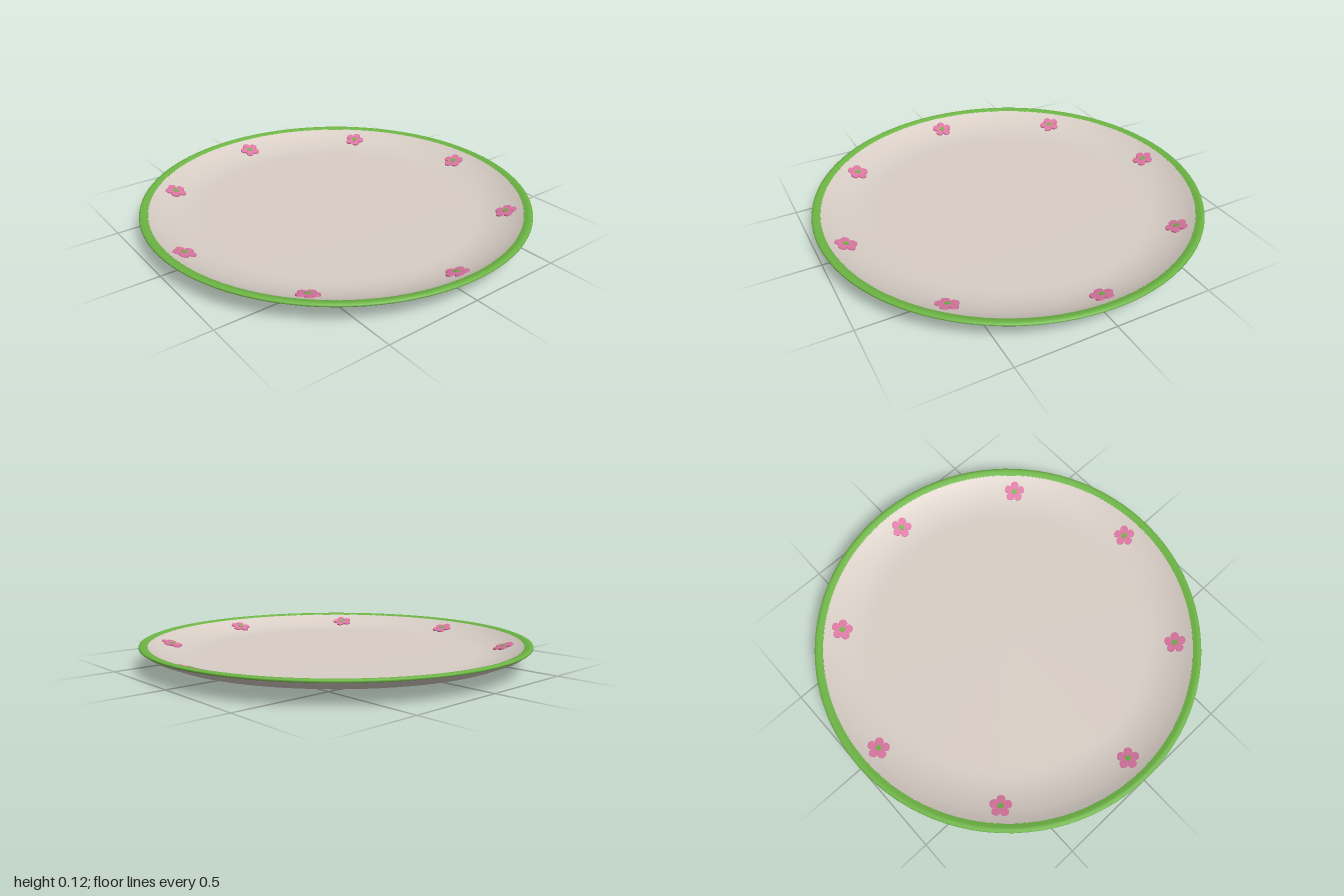
import * as THREE from 'three';

const SEGMENTS = 96;

function material(name, color, side = THREE.FrontSide) {
  const m = new THREE.MeshStandardMaterial({ color, side });
  m.name = name;
  return m;
}

// Spins a list of [radius, height] points around the y axis.
function turned(name, profile, mat) {
  const points = profile.map(([r, y]) => new THREE.Vector2(r, y));
  const mesh = new THREE.Mesh(new THREE.LatheGeometry(points, SEGMENTS), mat);
  mesh.name = name;
  return mesh;
}

// Five rounded petals as one thin plate lying flat, facing up.
function blossomGeometry() {
  const outline = [];
  for (let i = 0; i < 60; i++) {
    const t = (i / 60) * Math.PI * 2;
    const r = 0.03 + 0.026 * Math.sqrt(Math.abs(Math.cos(2.5 * t)));
    const a = t + Math.PI / 2 + 0.15;
    outline.push(new THREE.Vector2(r * Math.cos(a), r * Math.sin(a)));
  }
  const geo = new THREE.ExtrudeGeometry(new THREE.Shape(outline), { depth: 0.008, bevelEnabled: false });
  return geo.rotateX(-Math.PI / 2);
}

export function createModel() {
  const plate = new THREE.Group();
  plate.name = 'plate';
  const ceramic = material('warm white ceramic', 0xd8cec6);
  const green = material('leaf green', 0x6db544);
  const pink = material('blossom pink', 0xdd78a3);

  // Underside with a low foot ring
  plate.add(turned('underside', [
    [0, 0.014], [0.42, 0.013], [0.48, 0.0], [0.56, 0.0], [0.6, 0.018],
    [0.68, 0.022], [0.77, 0.03], [0.9, 0.058], [0.97, 0.087], [0.995, 0.106],
  ], ceramic));

  // Eating surface: flat well that curves up to the rim
  plate.add(turned('well', [
    [0.957, 0.112], [0.93, 0.097], [0.9, 0.084], [0.86, 0.07], [0.82, 0.06],
    [0.78, 0.053], [0.74, 0.05], [0.7, 0.049], [0, 0.049],
  ], ceramic));

  // Rounded green rim band
  plate.add(turned('rimBand', [
    [0.995, 0.105], [1.0, 0.11], [0.998, 0.116], [0.988, 0.12],
    [0.975, 0.119], [0.955, 0.111],
  ], green));

  // Eight blossoms around the sloped border
  const petals = blossomGeometry();
  const heart = new THREE.CylinderGeometry(0.014, 0.014, 0.004, 16);
  for (let i = 0; i < 8; i++) {
    const angle = (i / 8) * Math.PI * 2;
    const spoke = new THREE.Group();
    spoke.name = 'blossomSpoke';
    spoke.rotation.y = angle;
    const tilt = new THREE.Group();
    tilt.name = 'blossomTilt';
    tilt.position.set(0.873, 0.0755, 0);
    tilt.rotation.z = Math.atan(0.32);
    const blossom = new THREE.Group();
    blossom.name = 'blossom';
    blossom.rotation.y = -angle;
    const petalMesh = new THREE.Mesh(petals, pink);
    petalMesh.name = 'petals';
    const heartMesh = new THREE.Mesh(heart, green);
    heartMesh.name = 'blossomCentre';
    heartMesh.position.y = 0.008;
    blossom.add(petalMesh, heartMesh);
    tilt.add(blossom);
    spoke.add(tilt);
    plate.add(spoke);
  }
  return plate;
}
